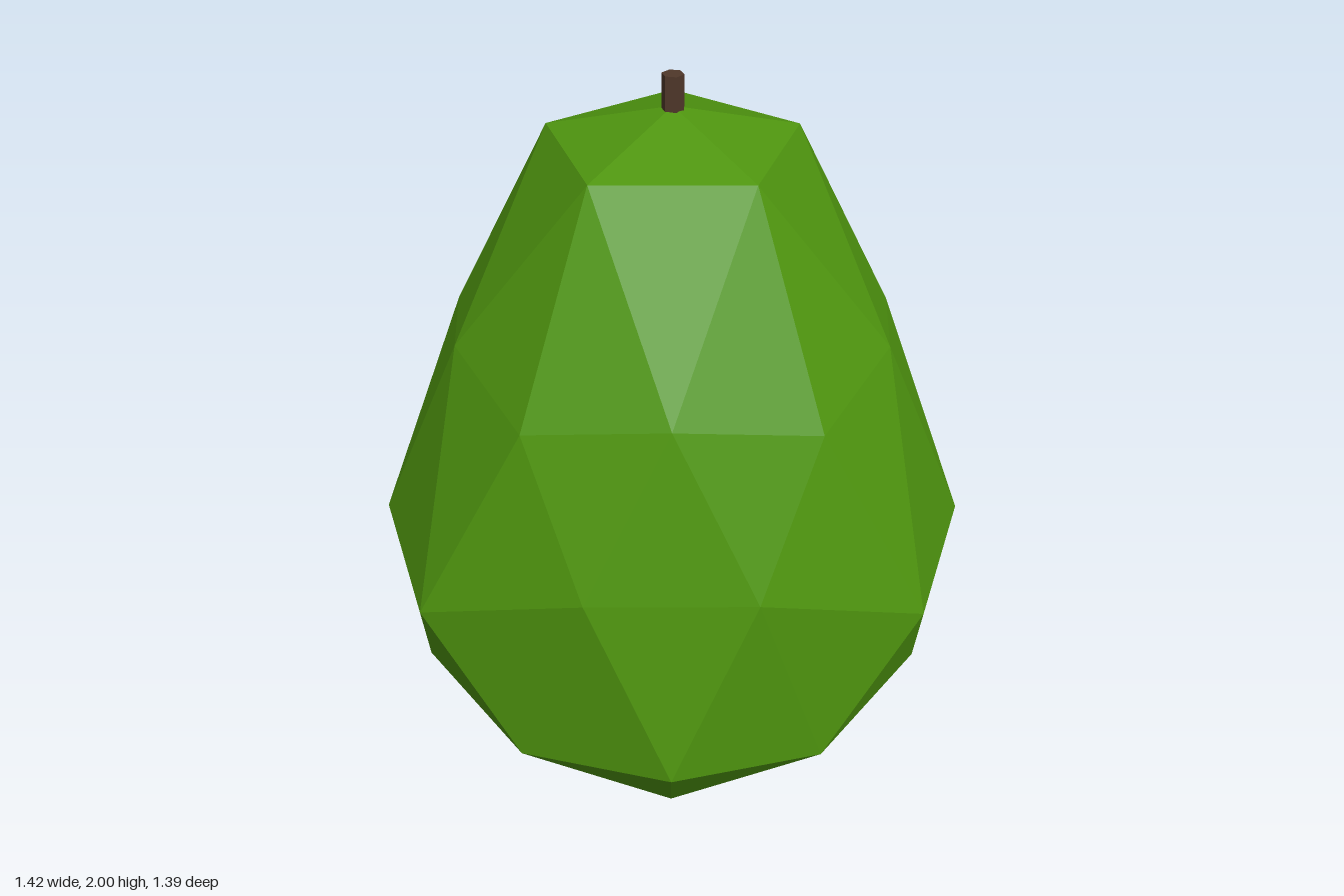
import * as THREE from 'three';

const AXIS_Z = 0.046; // the fruit's axis sits slightly forward

// Evenly spaced points around the axis; angles run from +x towards +z
function ring(count, radius, y, startDeg) {
  return Array.from({ length: count }, (_, i) => {
    const a = THREE.MathUtils.degToRad(startDeg + (360 / count) * i);
    return new THREE.Vector3(radius * Math.cos(a), y, AXIS_Z + radius * Math.sin(a));
  });
}

// Faceted pear-shaped body: a once-divided icosahedron with its own ring profile
function bodyGeometry() {
  const top = new THREE.Vector3(0, 1.925, AXIS_Z);
  const shoulder = ring(5, 0.31, 1.845, 0);
  const upper = ring(5, 0.57, 1.345, 0);
  const upperMid = ring(5, 0.535, 1.4, 36);
  const belly = ring(10, 0.746, 0.82, 18);
  const lower = ring(5, 0.667, 0.487, 36);
  const lowerMid = ring(5, 0.635, 0.428, 0);
  const base = ring(5, 0.365, 0.11, 36);
  const bottom = new THREE.Vector3(0, 0.004, AXIS_Z);

  // Flattened patch on the front
  belly[2].set(0, 0.985, 0.69);
  belly[3].set(-0.38, 0.985, 0.57);

  const points = [];
  const tri = (...corners) => points.push(...corners);

  for (let k = 0; k < 5; k++) {
    const n = (k + 1) % 5;
    const b0 = belly[2 * k], b1 = belly[2 * k + 1], b2 = belly[2 * n];

    // crown and shoulder
    tri(top, shoulder[n], shoulder[k]);
    tri(shoulder[n], upperMid[k], shoulder[k]);
    tri(shoulder[k], upperMid[k], upper[k]);
    tri(shoulder[n], upper[n], upperMid[k]);
    // belly, downward-pointing group
    tri(upperMid[k], b0, upper[k]);
    tri(upperMid[k], b1, b0);
    tri(upper[n], b1, upperMid[k]);
    tri(b1, lower[k], b0);
    // belly, upward-pointing group
    tri(upper[n], b2, b1);
    tri(b2, lowerMid[n], b1);
    tri(b1, lowerMid[n], lower[k]);
    tri(b2, lower[n], lowerMid[n]);
    // underside
    tri(lowerMid[n], base[k], lower[k]);
    tri(lowerMid[n], base[n], base[k]);
    tri(lower[n], base[n], lowerMid[n]);
    tri(base[n], bottom, base[k]);
  }

  const geometry = new THREE.BufferGeometry().setFromPoints(points);
  geometry.computeVertexNormals();
  return geometry;
}

export function createModel() {
  const model = new THREE.Group();
  model.name = 'fruit';

  const body = new THREE.Mesh(
    bodyGeometry(),
    new THREE.MeshStandardMaterial({ color: 0x4f960f, flatShading: true })
  );
  body.name = 'body';
  model.add(body);

  // Short six-sided stem
  const stem = new THREE.Mesh(
    new THREE.CylinderGeometry(0.026, 0.026, 0.12, 6),
    new THREE.MeshStandardMaterial({ color: 0x50382a, flatShading: true })
  );
  stem.name = 'stem';
  stem.position.set(0, 1.94, AXIS_Z);
  model.add(stem);

  return model;
}
